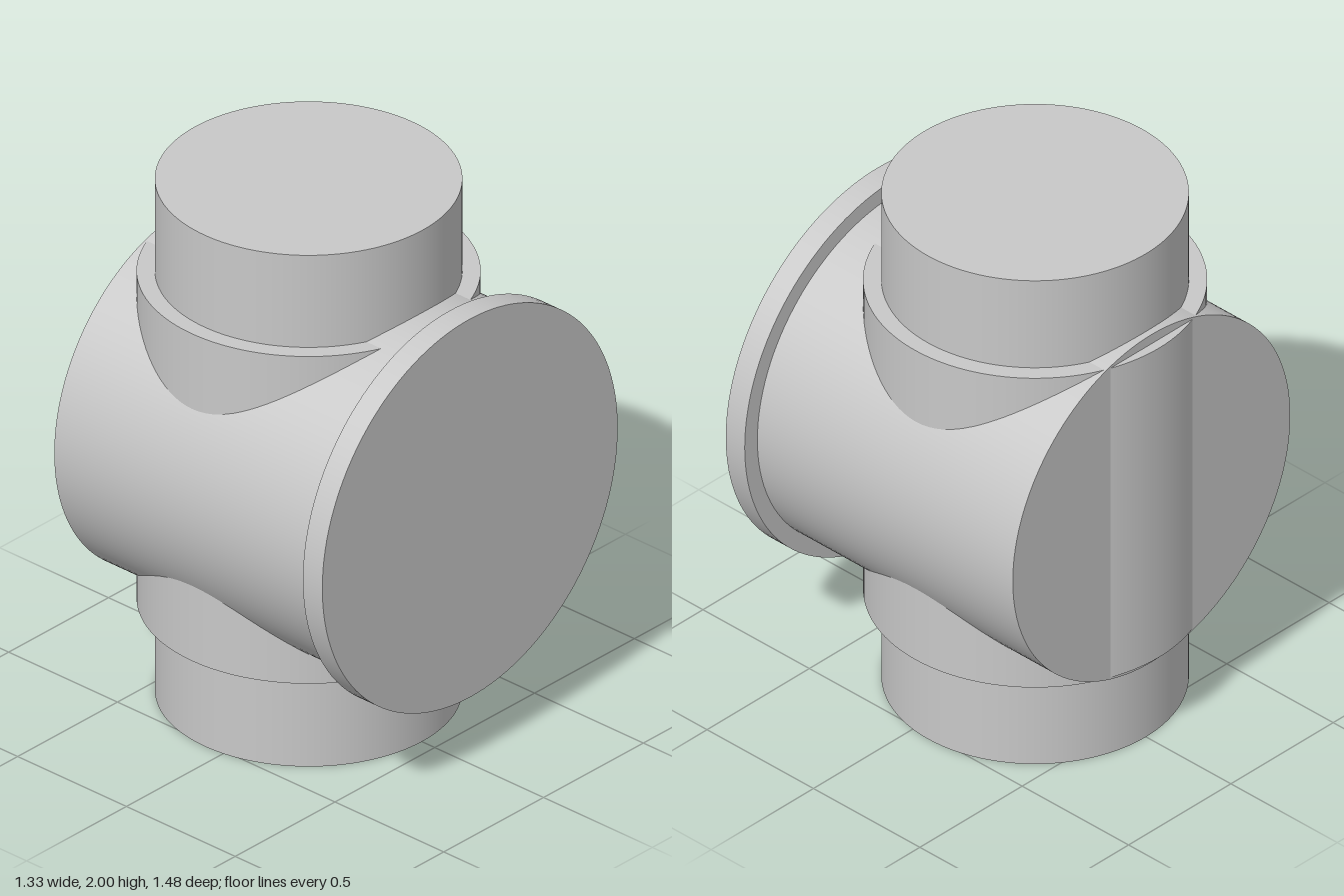
import * as THREE from 'three';

export function createModel() {
  const model = new THREE.Group();
  const grey = new THREE.MeshStandardMaterial({ color: 0xc8c8c8 });
  grey.name = 'light grey';

  // Solid capped cylinder, centred at (x, y), upright or lying along x
  function addCylinder(name, radius, length, x, y, alongX = false) {
    const geometry = new THREE.CylinderGeometry(radius, radius, length, 128);
    if (alongX) geometry.rotateZ(-Math.PI / 2);
    const mesh = new THREE.Mesh(geometry, grey);
    mesh.name = name;
    mesh.position.set(x, y, 0);
    model.add(mesh);
  }

  const bodyLeft = -0.627, flangeStart = 0.573, flangeEnd = 0.662;
  const pipeX = -0.08;

  // Horizontal body and its end flange
  addCylinder('body', 0.678, flangeStart - bodyLeft, (bodyLeft + flangeStart) / 2, 1, true);
  addCylinder('endFlange', 0.74, flangeEnd - flangeStart, (flangeStart + flangeEnd) / 2, 1, true);

  // Vertical collar and through pipe, crossing the body
  addCylinder('collar', 0.583, 1.28, pipeX, 1);
  addCylinder('verticalPipe', 0.521, 2, pipeX, 1);

  return model;
}
